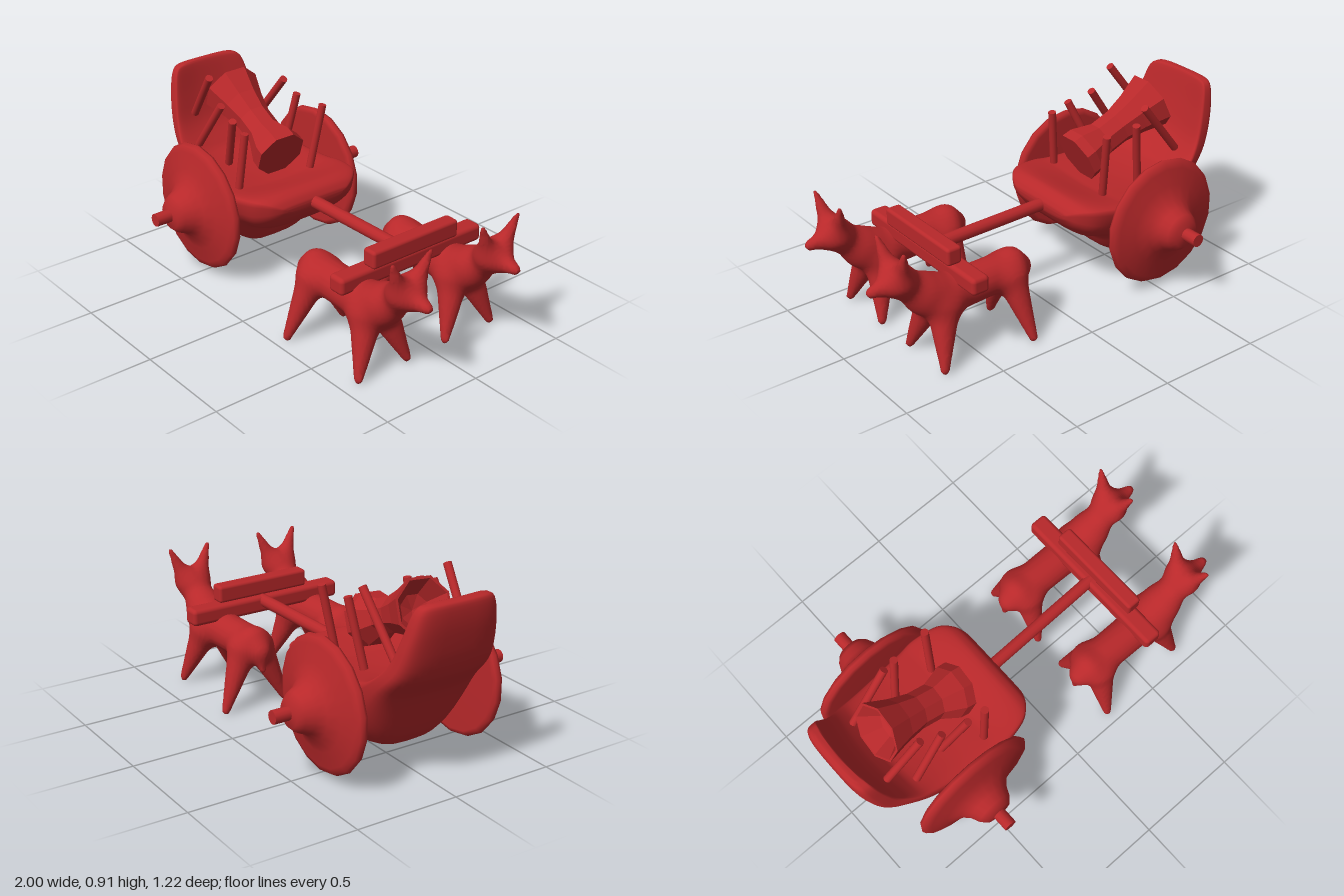
import * as THREE from 'three';
import { RoundedBoxGeometry } from 'three/addons/geometries/RoundedBoxGeometry.js';

const COLOR = 0xb8282a;
const smooth = new THREE.MeshStandardMaterial({ color: COLOR });
const faceted = new THREE.MeshStandardMaterial({ color: COLOR, flatShading: true });
const V = (x, y, z) => new THREE.Vector3(x, y, z);

function part(name, geometry, material = smooth) {
  const mesh = new THREE.Mesh(geometry, material);
  mesh.name = name;
  return mesh;
}

function rod(name, a, b, radius) {
  const mesh = part(name, new THREE.CylinderGeometry(radius, radius, a.distanceTo(b), 12));
  mesh.position.copy(a).add(b).multiplyScalar(0.5);
  mesh.quaternion.setFromUnitVectors(V(0, 1, 0), b.clone().sub(a).normalize());
  return mesh;
}

// Smoothly resample rows of numbers, column by column
function resample(rows, steps) {
  const curves = rows[0].map((_, c) =>
    new THREE.CatmullRomCurve3(rows.map((r, i) => V(r[c], i, 0)), false, 'catmullrom', 0.5));
  return Array.from({ length: steps + 1 }, (_, i) => curves.map((c) => c.getPoint(i / steps).x));
}

// Skin closed rings of points, capping both ends
function skin(rings) {
  const n = rings[0].length;
  const points = rings.flat();
  const index = [];
  for (let i = 0; i < rings.length - 1; i++) {
    for (let j = 0; j < n; j++) {
      const a = i * n + j, b = i * n + (j + 1) % n;
      index.push(a, b, a + n, b, b + n, a + n);
    }
  }
  for (const [row, flip] of [[0, true], [rings.length - 1, false]]) {
    const k = points.push(rings[row].reduce((s, p) => s.add(p), V(0, 0, 0)).divideScalar(n)) - 1;
    for (let j = 0; j < n; j++) {
      const a = row * n + j, b = row * n + (j + 1) % n;
      index.push(...(flip ? [k, b, a] : [k, a, b]));
    }
  }
  const g = new THREE.BufferGeometry().setFromPoints(points);
  g.setIndex(index);
  g.computeVertexNormals();
  return g;
}

// Mesh the zero surface of a distance field: one vertex per crossed cell, one quad per crossed edge
function meshField(field, origin, size, h) {
  const [nx, ny, nz] = size;
  const stride = [1, nx, nx * ny];
  const f = new Float32Array(nx * ny * nz);
  const at = (id) => [id % nx, Math.floor(id / nx) % ny, Math.floor(id / (nx * ny))];
  for (let id = 0; id < f.length; id++) f[id] = field(...at(id).map((c, d) => origin[d] + c * h));
  const points = [], index = [], vertex = new Map();
  for (let id = 0; id < f.length; id++) {
    const cell = at(id);
    if (cell.some((c, d) => c >= size[d] - 1)) continue;
    const sum = V(0, 0, 0);
    let count = 0;
    for (let a = 0; a < 8; a++) {
      for (let d = 0; d < 3; d++) {
        if (a & (1 << d)) continue;
        const bits = [a & 1, (a >> 1) & 1, a >> 2];
        const p = id + bits[0] + bits[1] * nx + bits[2] * nx * ny;
        const fa = f[p], fb = f[p + stride[d]];
        if ((fa < 0) === (fb < 0)) continue;
        bits[d] = fa / (fa - fb);
        sum.add(V(...bits));
        count++;
      }
    }
    if (!count) continue;
    sum.divideScalar(count).add(V(...cell)).multiplyScalar(h).add(V(...origin));
    vertex.set(id, points.push(sum) - 1);
  }
  for (const id of vertex.keys()) {
    for (let d = 0; d < 3; d++) {
      if ((f[id] < 0) === (f[id + stride[d]] < 0)) continue;
      const u = stride[(d + 1) % 3], v = stride[(d + 2) % 3];
      const [a, b, c, e] = [id, id - u, id - u - v, id - v].map((k) => vertex.get(k));
      index.push(...(f[id] < 0 ? [a, b, c, a, c, e] : [a, c, b, a, e, c]));
    }
  }
  const g = new THREE.BufferGeometry().setFromPoints(points);
  g.setIndex(index);
  g.computeVertexNormals();
  return g;
}

// Ox modelled from tapered limbs melted together, mirrored in z
function oxGeometry() {
  const limbs = [
    [0.27, 0.308, 0, 0.085, 0.62, 0.298, 0, 0.09],      // trunk
    [0.62, 0.3, 0, 0.09, 0.71, 0.34, 0, 0.085],         // chest
    [0.71, 0.34, 0, 0.083, 0.845, 0.455, 0, 0.064],     // neck
    [0.845, 0.455, 0, 0.064, 0.974, 0.442, 0, 0.024],   // muzzle
    [0.65, 0.265, 0.045, 0.072, 0.712, 0.02, 0.137, 0.02],   // front leg
    [0.285, 0.285, 0.045, 0.07, 0.25, 0.018, 0.162, 0.02],   // rear leg
    [0.25, 0.345, 0, 0.045, 0.195, 0.3, 0, 0.028],      // tail root
    [0.195, 0.3, 0, 0.026, 0.174, 0.21, 0, 0.013],      // tail
    [0.848, 0.475, 0.038, 0.046, 0.874, 0.632, 0.105, 0.01], // horn
  ].map(([x, y, z, r, X, Y, Z, R]) => ({ a: [x, y, z], d: [X - x, Y - y, Z - z], r, dr: R - r }));
  const k = 0.05;
  const field = (x, y, z) => {
    let best = 1;
    for (const { a, d, r, dr } of limbs) {
      const p = [x - a[0], y - a[1], Math.abs(z) - a[2]];
      const dot = p[0] * d[0] + p[1] * d[1] + p[2] * d[2];
      const t = THREE.MathUtils.clamp(dot / (d[0] ** 2 + d[1] ** 2 + d[2] ** 2), 0, 1);
      const dist = Math.hypot(p[0] - t * d[0], p[1] - t * d[1], p[2] - t * d[2]) - r - t * dr;
      const blend = Math.max(k - Math.abs(best - dist), 0) / k;
      best = Math.min(best, dist) - blend * blend * k / 4;
    }
    return best;
  };
  return meshField(field, [0.13, -0.03, -0.216], [76, 59, 37], 0.012);
}

// Tub stations: top x, y, bottom x, y, half width, squareness of the underside
function makeTub() {
  const rows = resample([
    [-0.945, 0.877, -0.975, 0.88, 0.13, 1], [-0.92, 0.85, -1, 0.855, 0.19, 1],
    [-0.88, 0.72, -0.99, 0.73, 0.225, 1], [-0.835, 0.61, -0.94, 0.55, 0.25, 0.9],
    [-0.76, 0.53, -0.83, 0.41, 0.28, 0.6], [-0.66, 0.5, -0.71, 0.17, 0.3, 0.1],
    [-0.53, 0.485, -0.58, 0.1, 0.315, 0], [-0.39, 0.485, -0.42, 0.11, 0.325, 0],
    [-0.3, 0.485, -0.33, 0.22, 0.33, 0.2], [-0.18, 0.49, -0.21, 0.275, 0.305, 0.6],
    [-0.12, 0.475, -0.135, 0.335, 0.255, 0.8], [-0.093, 0.445, -0.098, 0.385, 0.2, 0.8],
    [-0.088, 0.425, -0.09, 0.405, 0.16, 0.8]], 60);
  const n = 40;
  return part('tub', skin(rows.map(([tx, ty, bx, by, w, square]) => {
    const depth = Math.hypot(tx - bx, ty - by);
    const dip = Math.min(0.3, 0.05 / depth) * THREE.MathUtils.clamp((-0.15 - tx) / 0.2, 0, 1);
    return Array.from({ length: n }, (_, j) => {
      const a = (j / n) * Math.PI * 2, c = Math.cos(a), s = Math.sin(a);
      const side = Math.sign(s) * Math.pow(Math.abs(s), 0.6);
      const under = Math.pow(Math.max(-c, 0), 0.8 - 0.3 * square);
      const v = c > 0 ? 0.8 + 0.2 * c ** 0.5 - dip * (1 - side * side) : 0.8 - 0.8 * under;
      const z = w * side * (1 - 0.3 * (1 - square) * Math.max(-c, 0));
      return V(bx + (tx - bx) * v, by + (ty - by) * v, z);
    });
  })));
}

export function createModel() {
  const model = new THREE.Group();
  model.name = 'oxCart';
  model.add(makeTub());

  // Bell-hubbed wheels on one axle
  const profile = [[0, 0.33], [0.285, 0.33], [0.305, 0.338], [0.313, 0.354], [0.303, 0.372],
    [0.275, 0.384], [0.2, 0.4], [0.14, 0.425], [0.108, 0.46], [0.09, 0.5], [0.065, 0.527], [0, 0.535]]
    .map((p) => new THREE.Vector2(...p));
  for (const s of [1, -1]) {
    const wheel = part('wheel', new THREE.LatheGeometry(profile, 18));
    wheel.rotation.x = s * Math.PI / 2;
    wheel.position.set(-0.53, 0.337, 0);
    model.add(wheel);
  }
  model.add(rod('axle', V(-0.53, 0.34, -0.608), V(-0.53, 0.34, 0.608), 0.031));

  // Waisted drum lying in the tub, hollow at the back
  const drumProfile = [[0, 0.1], [0.07, 0.08], [0.13, 0], [0.142, 0], [0.105, 0.12], [0.085, 0.22],
    [0.085, 0.32], [0.125, 0.42], [0.127, 0.47], [0, 0.47]].map((p) => new THREE.Vector2(...p));
  const drum = part('drum', new THREE.LatheGeometry(drumProfile, 8, Math.PI / 8), faceted);
  drum.position.set(-0.757, 0.77, -0.005);
  drum.quaternion.setFromUnitVectors(V(0, 1, 0), V(0.43, -0.19, 0.025).normalize());
  model.add(drum);

  // Stakes: foot and tip
  const stakes = [
    [-0.78, 0.57, -0.165, -0.56, 0.84, -0.18], [-0.84, 0.66, 0.155, -0.66, 0.905, 0.185],
    [-0.73, 0.55, 0.21, -0.555, 0.8, 0.195], [-0.55, 0.5, 0.165, -0.43, 0.77, 0.22],
    [-0.55, 0.46, -0.16, -0.49, 0.78, -0.205], [-0.335, 0.46, -0.16, -0.305, 0.78, -0.215],
    [-0.365, 0.46, 0.24, -0.335, 0.74, 0.22]];
  for (const [a, b, c, d, e, f] of stakes) model.add(rod('stake', V(a, b, c), V(d, e, f), 0.019));

  // Draught pole and double yoke
  model.add(rod('pole', V(-0.12, 0.415, 0.0), V(0.53, 0.415, -0.015), 0.03));
  const lower = part('lowerYoke', new RoundedBoxGeometry(0.09, 0.082, 0.815, 3, 0.02));
  lower.position.set(0.543, 0.4, -0.003);
  const upper = part('upperYoke', new RoundedBoxGeometry(0.075, 0.085, 0.49, 3, 0.015));
  upper.position.set(0.566, 0.48, -0.005);
  model.add(lower, upper);

  // Pair of oxen
  const oxBody = oxGeometry();
  for (const z of [0.275, -0.228]) {
    const ox = part('ox', oxBody);
    ox.position.z = z;
    model.add(ox);
  }
  return model;
}
